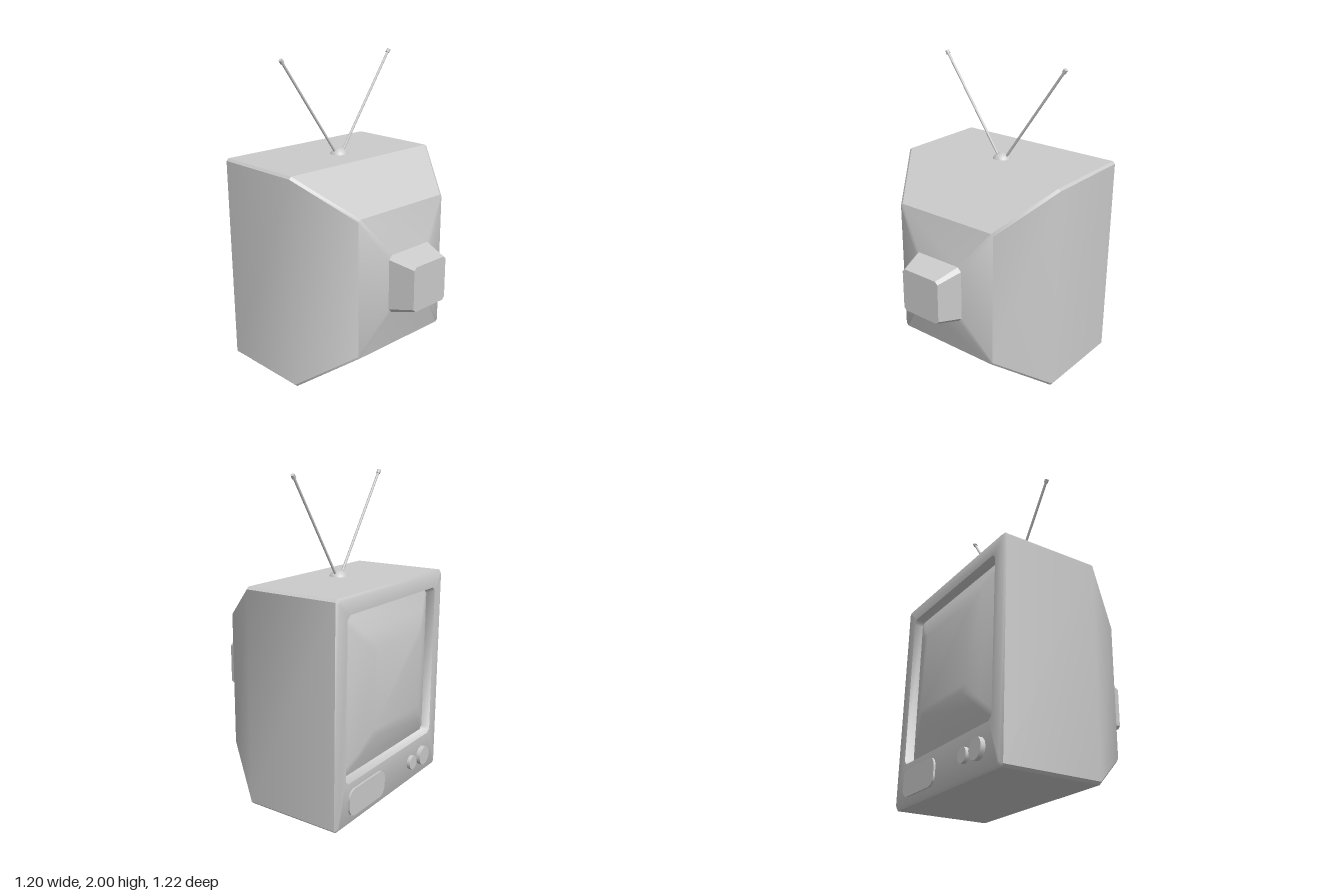
import * as THREE from 'three';
import { toCreasedNormals } from 'three/addons/utils/BufferGeometryUtils.js';

const grey = new THREE.MeshStandardMaterial({ color: 0xcccccc });

function addMesh(parent, name, geometry) {
  const mesh = new THREE.Mesh(geometry, grey);
  mesh.name = name;
  parent.add(mesh);
  return mesh;
}

// Rectangle cross-section with cut corners, counter-clockwise seen from +z
function ring(hx, y0, y1, z, c) {
  return [
    [hx, y0 + c], [hx, y1 - c], [hx - c, y1], [c - hx, y1],
    [-hx, y1 - c], [-hx, y0 + c], [c - hx, y0], [hx - c, y0],
  ].map(([x, y]) => [x, y, z]);
}

// Skin a list of rings; optionally close the first and last one
function loft(rings, crease, capStart, capEnd) {
  const pos = [];
  const tri = (...pts) => pts.forEach((p) => pos.push(...p));
  const n = rings[0].length;
  for (let r = 0; r < rings.length - 1; r++) {
    const a = rings[r], b = rings[r + 1];
    for (let i = 0; i < n; i++) {
      const j = (i + 1) % n;
      tri(a[i], b[i], b[j]);
      tri(a[i], b[j], a[j]);
    }
  }
  const first = rings[0], last = rings[rings.length - 1];
  for (let i = 1; i < n - 1; i++) {
    if (capStart) tri(first[0], first[i], first[i + 1]);
    if (capEnd) tri(last[0], last[i + 1], last[i]);
  }
  const geo = new THREE.BufferGeometry();
  geo.setAttribute('position', new THREE.Float32BufferAttribute(pos, 3));
  geo.computeVertexNormals();
  return toCreasedNormals(geo, THREE.MathUtils.degToRad(crease));
}

// Cylinder between two points
function rod(parent, name, from, to, radius) {
  const dir = to.clone().sub(from);
  const mesh = addMesh(parent, name, new THREE.CylinderGeometry(radius, radius, dir.length(), 12));
  mesh.position.copy(from).add(to).multiplyScalar(0.5);
  mesh.quaternion.setFromUnitVectors(new THREE.Vector3(0, 1, 0), dir.normalize());
}

export function createModel() {
  const tv = new THREE.Group();
  tv.name = 'television';

  // Cabinet: tube neck, sloped housing and box
  addMesh(tv, 'cabinet', loft([
    ring(0.142, 0.552, 0.838, 0.612, 0.018),
    ring(0.185, 0.51, 0.88, 0.45, 0.025),
    ring(0.37, 0.24, 1.13, 0.38, 0.015),
    ring(0.6, 0.003, 1.364, 0.05, 0.015),
    ring(0.6, 0.003, 1.364, -0.565, 0.015),
  ], 35, true, false));

  // Bezel: bevelled rim, frame and recess walls
  addMesh(tv, 'bezel', loft([
    ring(0.6, 0.003, 1.364, -0.565, 0.015),
    ring(0.585, 0.018, 1.349, -0.58, 0.015),
    ring(0.505, 0.268, 1.262, -0.58, 0.025),
    ring(0.487, 0.286, 1.244, -0.53, 0.025),
  ], 60, false, false));

  // Bulging picture tube
  addMesh(tv, 'screen', loft([
    ring(0.487, 0.286, 1.244, -0.53, 0.025),
    ring(0.375, 0.395, 1.135, -0.58, 0.03),
    ring(0.27, 0.5, 1.03, -0.613, 0.04),
  ], 35, false, true));

  // Speaker panel with rounded ends
  const x0 = 0.09, x1 = 0.48, y0 = 0.055, y1 = 0.225, r = 0.06;
  const outline = new THREE.Shape();
  outline.absarc(x1 - r, y0 + r, r, -Math.PI / 2, 0);
  outline.absarc(x1 - r, y1 - r, r, 0, Math.PI / 2);
  outline.absarc(x0 + r, y1 - r, r, Math.PI / 2, Math.PI);
  outline.absarc(x0 + r, y0 + r, r, Math.PI, Math.PI * 1.5);
  const panel = addMesh(tv, 'speakerPanel',
    new THREE.ExtrudeGeometry(outline, { depth: 0.025, bevelEnabled: false, curveSegments: 8 }));
  panel.position.z = -0.592;

  // Tuning and volume knobs
  for (const [name, x, radius, z] of [['tuningKnob', -0.392, 0.063, -0.609], ['volumeKnob', -0.25, 0.046, -0.605]]) {
    rod(tv, name, new THREE.Vector3(x, 0.14, -0.57), new THREE.Vector3(x, 0.14, z), radius);
  }

  // Antenna: dome and two rods with tips
  const antenna = new THREE.Group();
  antenna.name = 'antenna';
  antenna.position.set(0, 1.335, -0.175);
  tv.add(antenna);
  addMesh(antenna, 'antennaDome', new THREE.SphereGeometry(0.065, 32, 16));
  for (const side of [-1, 1]) {
    const base = new THREE.Vector3(side * 0.01, 0.01, 0);
    const end = new THREE.Vector3(side * 0.455, 0.656, 0);
    const tipStart = end.clone().lerp(base, 0.03);
    rod(antenna, 'antennaRod', base, end, 0.008);
    rod(antenna, 'antennaTip', tipStart, end, 0.013);
  }
  return tv;
}
